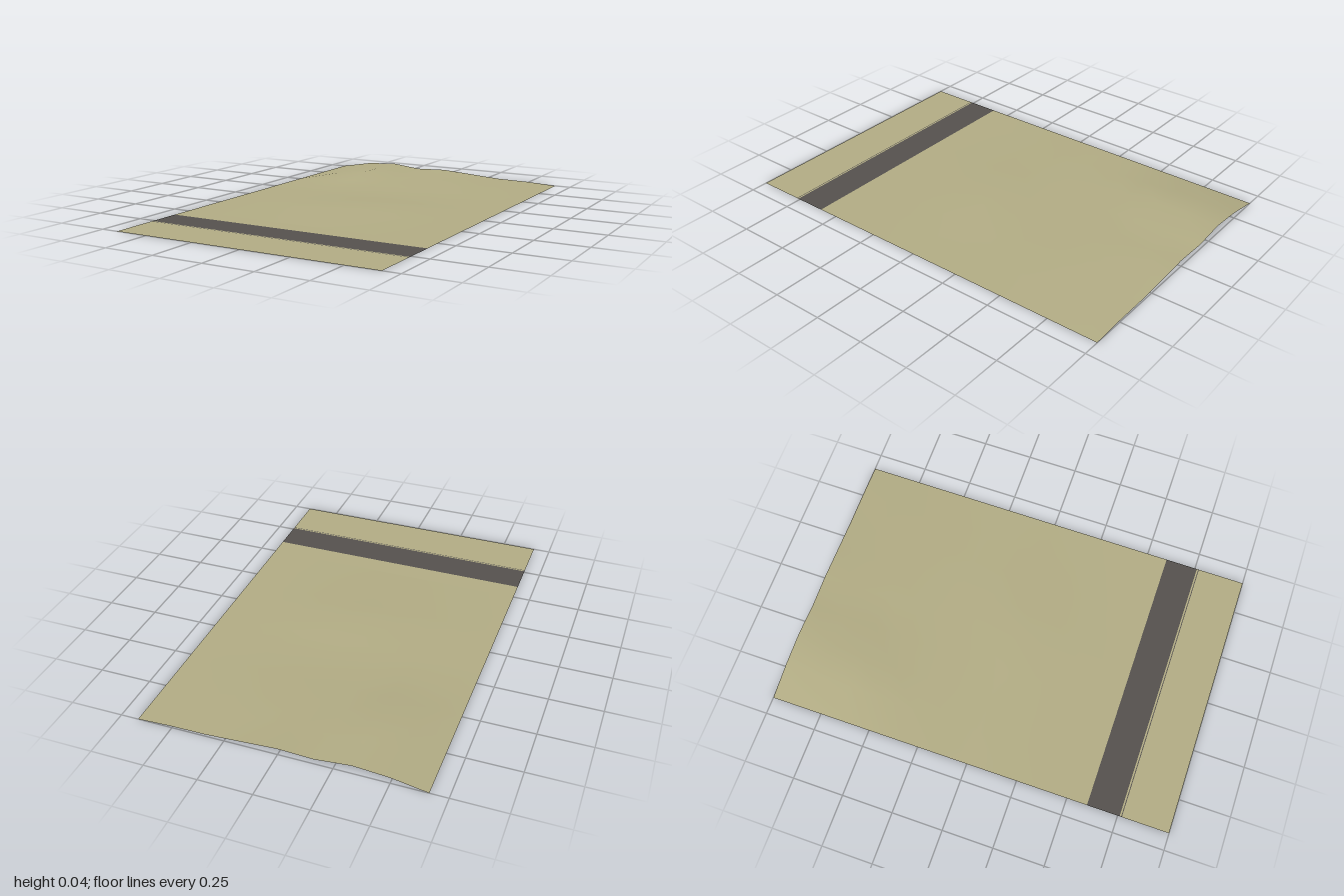
import * as THREE from 'three';

// Height of the cloth in thousandths: rows run from the back edge (z = -1) forward,
// columns run from x = -0.67 to x = 0.67, both in steps of 1/6.
const RIPPLES = [
  [0, 30, 43, 25, 32, 21, 10, 8, 0],
  [0, 28, 42, 21, 22, 19, 11, 7, 0],
  [0, 24, 43, 19, 18, 17, 11, 6, 0],
  [0, 12, 20, 12, 11, 10, 8, 4, 0],
  [0, 4, 7, 6, 5, 6, 4, 2, 0],
  [0, 3, 5, 6, 7, 8, 5, 2, 0],
  [0, 4, 8, 12, 17, 15, 8, 3, 0],
  [0, 3, 5, 8, 10, 9, 5, 2, 0],
  [0, 1, 2, 3, 4, 3, 2, 1, 0],
];
const STEP = 1 / 6, WIDTH = 4 / 3;

// Flat rectangle between two z values, with the ripples lifted into it
function strip(name, zBack, zFront, rows, material) {
  const geo = new THREE.PlaneGeometry(WIDTH, zFront - zBack, 8, rows);
  geo.rotateX(-Math.PI / 2).translate(0, 0, (zBack + zFront) / 2);
  const p = geo.attributes.position;
  for (let i = 0; i < p.count; i++) {
    const row = Math.round((p.getZ(i) + 1) / STEP);
    const col = Math.round((p.getX(i) + WIDTH / 2) / STEP);
    p.setY(i, row < RIPPLES.length ? RIPPLES[row][col] / 1000 : 0);
  }
  geo.computeVertexNormals();
  const mesh = new THREE.Mesh(geo, material);
  mesh.name = name;
  return mesh;
}

export function createModel() {
  const cloth = new THREE.MeshStandardMaterial({ color: 0xb3ad85, side: THREE.DoubleSide });
  cloth.name = 'khaki cloth';
  const dark = new THREE.MeshStandardMaterial({ color: 0x56524e, side: THREE.DoubleSide });
  dark.name = 'dark stripe';

  const towel = new THREE.Group();
  towel.name = 'towel';
  towel.add(
    strip('rippledCloth', -1, 0.5, 9, cloth),
    strip('flatCloth', 0.5, 0.6, 1, cloth),
    strip('wideStripe', 0.6, 0.76, 1, dark),
    strip('stripeGap', 0.76, 0.767, 1, cloth),
    strip('thinStripe', 0.767, 0.771, 1, dark),
    strip('frontHem', 0.771, 1, 1, cloth),
  );
  return towel;
}
